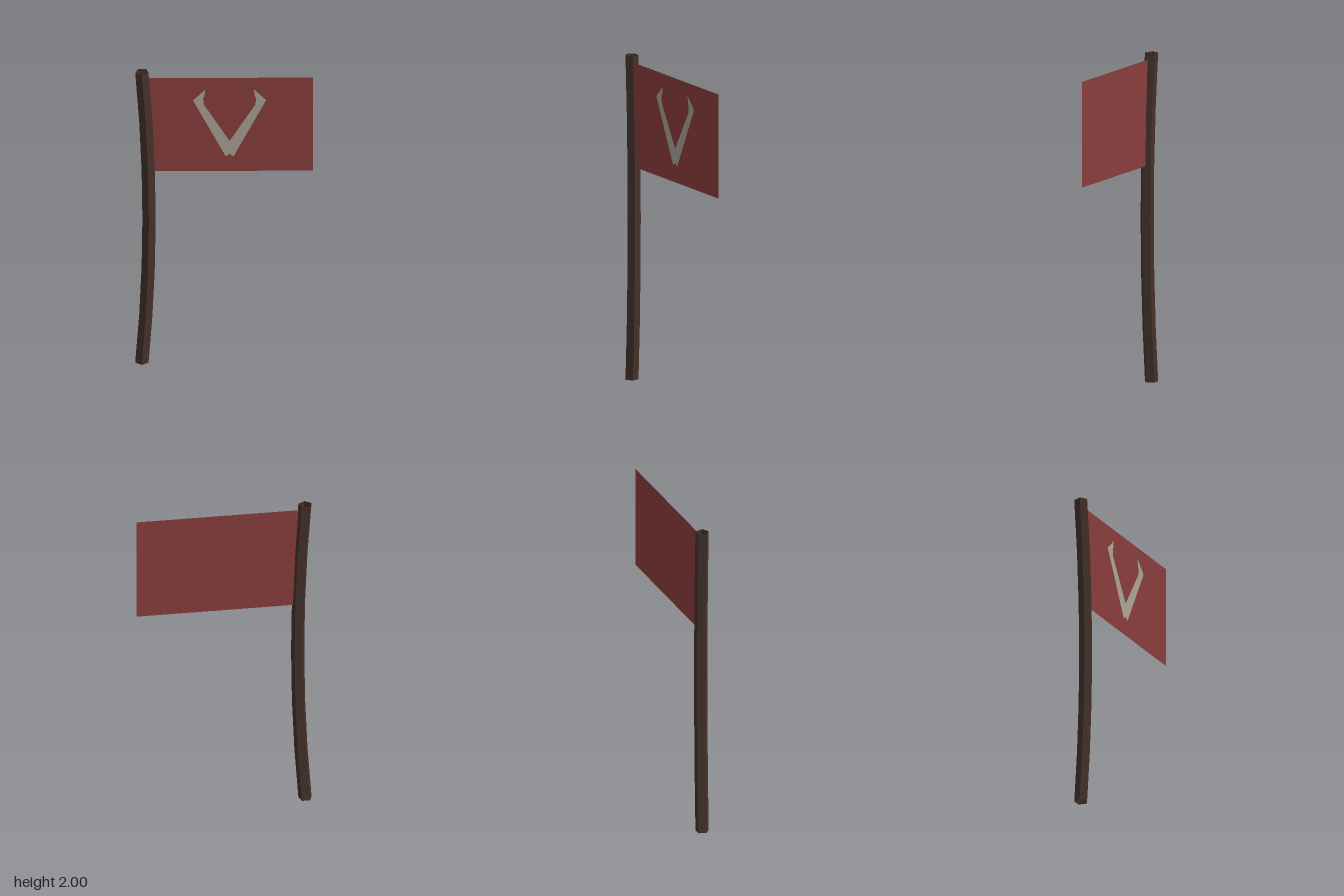
import * as THREE from 'three';

export function createModel() {
  const model = new THREE.Group();
  model.name = 'bannerOnPole';

  const mat = (name, color, extra = {}) =>
    new THREE.MeshStandardMaterial({ name, color, side: THREE.DoubleSide, ...extra });
  const wood = mat('dark wood', 0x45312a, { flatShading: true });
  const cloth = mat('red cloth', 0x8a3d3d);
  const bone = mat('pale bone', 0xaaa397);

  const add = (name, geometry, material) => {
    const mesh = new THREE.Mesh(geometry, material);
    mesh.name = name;
    model.add(mesh);
    return mesh;
  };

  // Pole: open five-sided tube, bowed towards the cloth at mid height
  const poleGeo = new THREE.CylinderGeometry(0.042, 0.042, 2, 5, 6, true, THREE.MathUtils.degToRad(-2));
  const pos = poleGeo.attributes.position;
  for (let i = 0; i < pos.count; i++) {
    const y = pos.getY(i);
    const bow = 1 - y * y;
    pos.setXYZ(i, pos.getX(i) - 0.495 + 0.043 * bow, y + 1, pos.getZ(i) - 0.007 + 0.01 * bow);
  }
  poleGeo.computeVertexNormals();
  add('pole', poleGeo, wood);

  // Cloth: flat sheet with its inner edge inside the pole
  const left = -0.47, right = 0.532, bottom = 1.318, top = 1.96;
  const flag = add('cloth', new THREE.PlaneGeometry(right - left, top - bottom), cloth);
  flag.position.set((left + right) / 2, (bottom + top) / 2, 0);

  // Emblem: mirrored pair of horns meeting in a V, on the front only
  const half = [[0.024, 1.421], [0.22, 1.808], [0.146, 1.882], [0.151, 1.835], [0.159, 1.822], [0.156, 1.78]];
  const outline = [
    [0, 1.437], ...half, [0, 1.527],
    ...half.slice().reverse().map(([x, y]) => [-x, y]),
  ].map(([x, y]) => new THREE.Vector2(x, y));
  const emblem = add('emblem', new THREE.ShapeGeometry(new THREE.Shape(outline)), bone);
  emblem.position.set(0.032, 0, 0.004);

  return model;
}
